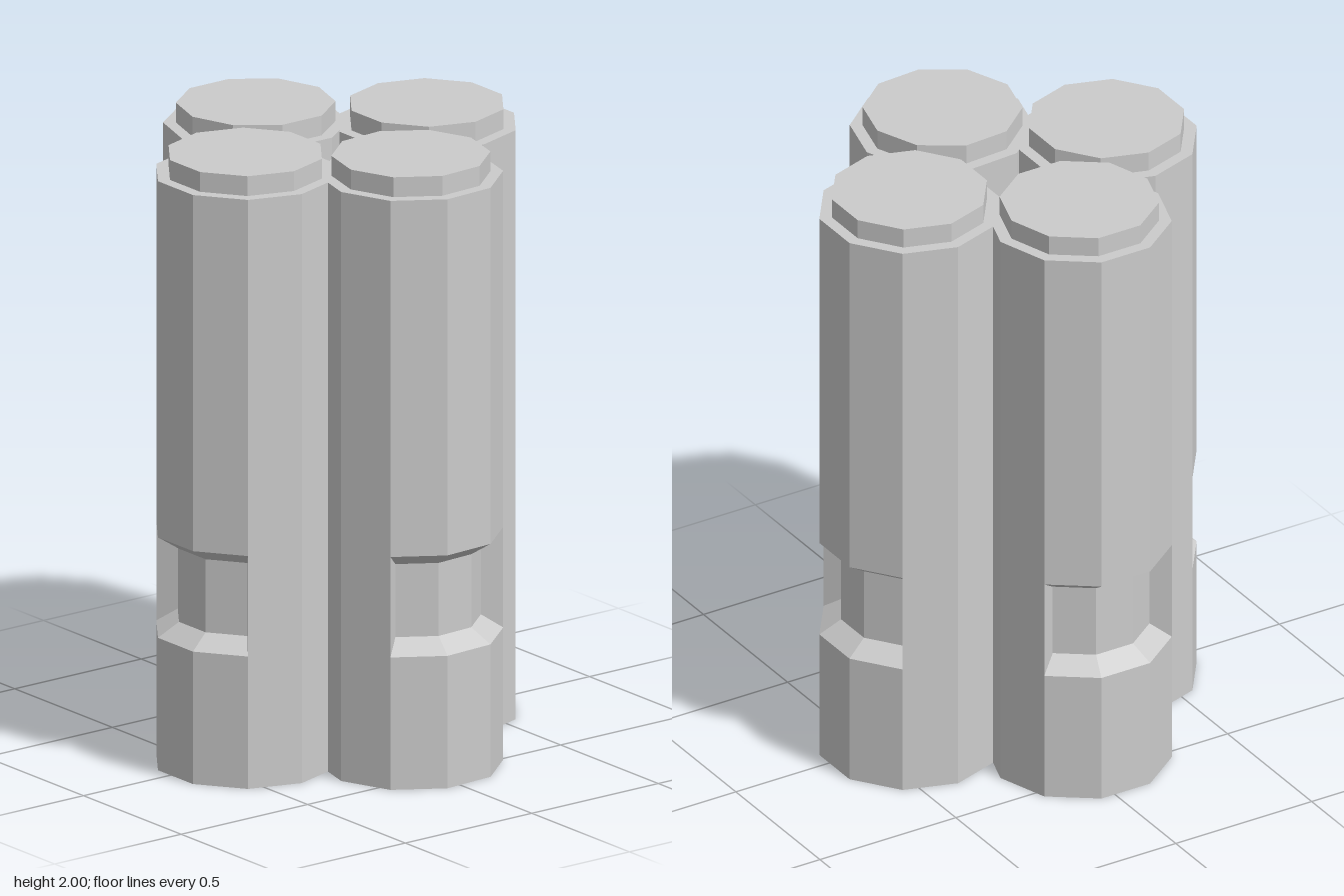
import * as THREE from 'three';

const STEP = Math.PI / 5; // ten-sided columns
const R = 0.29, CAP_R = 0.25, GROOVE_R = 0.22;
const BASE = [[0, 0], [R, 0]];
const GROOVE = [[R, 0.435], [GROOVE_R, 0.48], [GROOVE_R, 0.72], [R, 0.765]];
const TOP = [[R, 1.935], [CAP_R, 1.935], [CAP_R, 2], [0, 2]];

const toPoints = (list) => list.map(([r, y]) => new THREE.Vector2(r, y));

export function createModel() {
  const model = new THREE.Group();
  const material = new THREE.MeshStandardMaterial({ color: 0xcccccc, flatShading: true });
  const wallMaterial = material.clone();
  wallMaterial.side = THREE.DoubleSide;

  // A column whose three outward faces carry a bevelled grip groove
  function addColumn(name, x, z, facing) {
    const column = new THREE.Group();
    column.name = name;
    column.position.set(x, 0, z);
    const start = facing - 1.5 * STEP;
    const end = facing + 1.5 * STEP;
    const add = (partName, geometry, mat) => {
      const mesh = new THREE.Mesh(geometry, mat);
      mesh.name = partName;
      column.add(mesh);
    };

    // Grooved outer faces, then the seven plain faces
    add('groovedSide', new THREE.LatheGeometry(
      toPoints([...BASE, ...GROOVE, ...TOP]), 3, start, 3 * STEP), material);
    add('plainSide', new THREE.LatheGeometry(
      toPoints([...BASE, ...TOP]), 7, end, 7 * STEP), material);

    // Walls closing both ends of the groove
    for (const angle of [start, end]) {
      const wall = new THREE.ShapeGeometry(new THREE.Shape(toPoints(GROOVE)));
      wall.rotateY(angle - Math.PI / 2);
      add('grooveEnd', wall, wallMaterial);
    }
    model.add(column);
  }

  addColumn('frontColumn', 0.02, 0.355, THREE.MathUtils.degToRad(3.6));
  addColumn('leftColumn', 0.38, -0.03, Math.PI / 2);
  addColumn('backColumn', -0.04, -0.362, Math.PI);
  addColumn('rightColumn', -0.38, 0.025, Math.PI * 1.5);
  return model;
}
